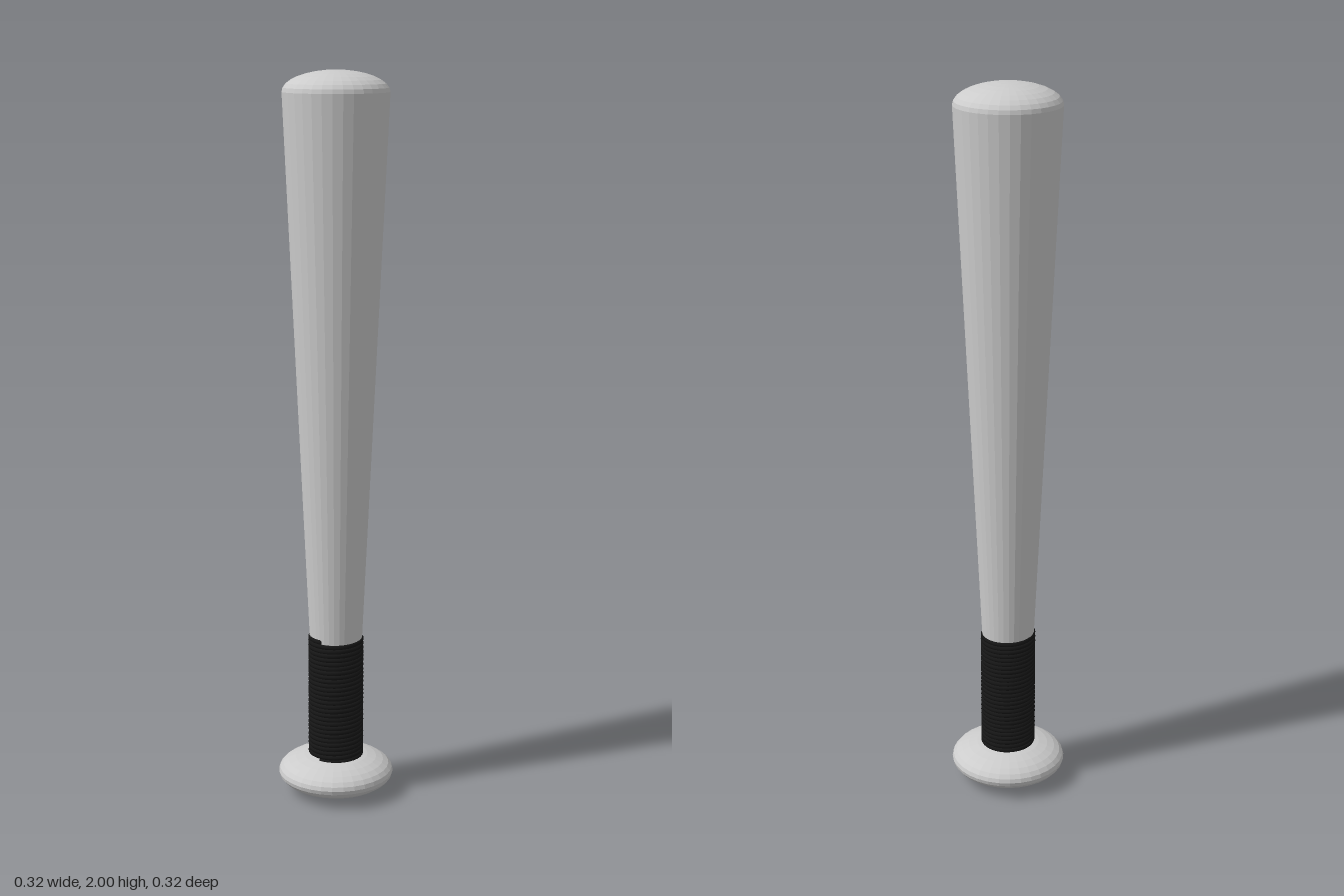
import * as THREE from 'three';

const SIDES = 32;

// Points along a quarter/half ellipse, from angle a0 to a1 (degrees)
function ellipse(cy, rx, ry, a0, a1, steps) {
  return Array.from({ length: steps + 1 }, (_, i) => {
    const a = THREE.MathUtils.degToRad(a0 + ((a1 - a0) * i) / steps);
    return new THREE.Vector2(Math.max(0, rx * Math.cos(a)), cy + ry * Math.sin(a));
  });
}

// Rising coil that ends at the front
class Coil extends THREE.Curve {
  constructor(radius, y0, y1, turns) {
    super();
    Object.assign(this, { radius, y0, y1, turns });
  }
  getPoint(t, target = new THREE.Vector3()) {
    const a = t * this.turns * Math.PI * 2;
    return target.set(
      this.radius * Math.sin(a),
      THREE.MathUtils.lerp(this.y0, this.y1, t),
      this.radius * Math.cos(a)
    );
  }
}

export function createModel() {
  const group = new THREE.Group();
  const grey = new THREE.MeshStandardMaterial({ color: 0xcccccc, flatShading: true });
  const black = new THREE.MeshStandardMaterial({ color: 0x161616 });

  const add = (name, geometry, material) => {
    const mesh = new THREE.Mesh(geometry, material);
    mesh.name = name;
    group.add(mesh);
  };

  // Handle core and tapered barrel with a domed tip
  const profile = [
    new THREE.Vector2(0.068, 0.06),
    new THREE.Vector2(0.068, 0.44),
    new THREE.Vector2(0.073, 0.45),
    ...ellipse(1.943, 0.142, 0.057, 0, 90, 8),
  ];
  add('barrel', new THREE.LatheGeometry(profile, SIDES), grey);

  // Flattened knob at the foot
  add('knob', new THREE.LatheGeometry(ellipse(0.057, 0.161, 0.057, -90, 90, 16), SIDES), grey);

  // Grip tape wound around the handle
  const turns = 28;
  const coil = new Coil(0.07, 0.105, 0.455, turns);
  add('gripTape', new THREE.TubeGeometry(coil, turns * SIDES, 0.0075, 8), black);

  // Closed end of the tape
  const cap = new THREE.SphereGeometry(0.0075, 8, 6);
  cap.translate(0, 0.455, 0.07);
  add('gripTapeEnd', cap, black);

  return group;
}
